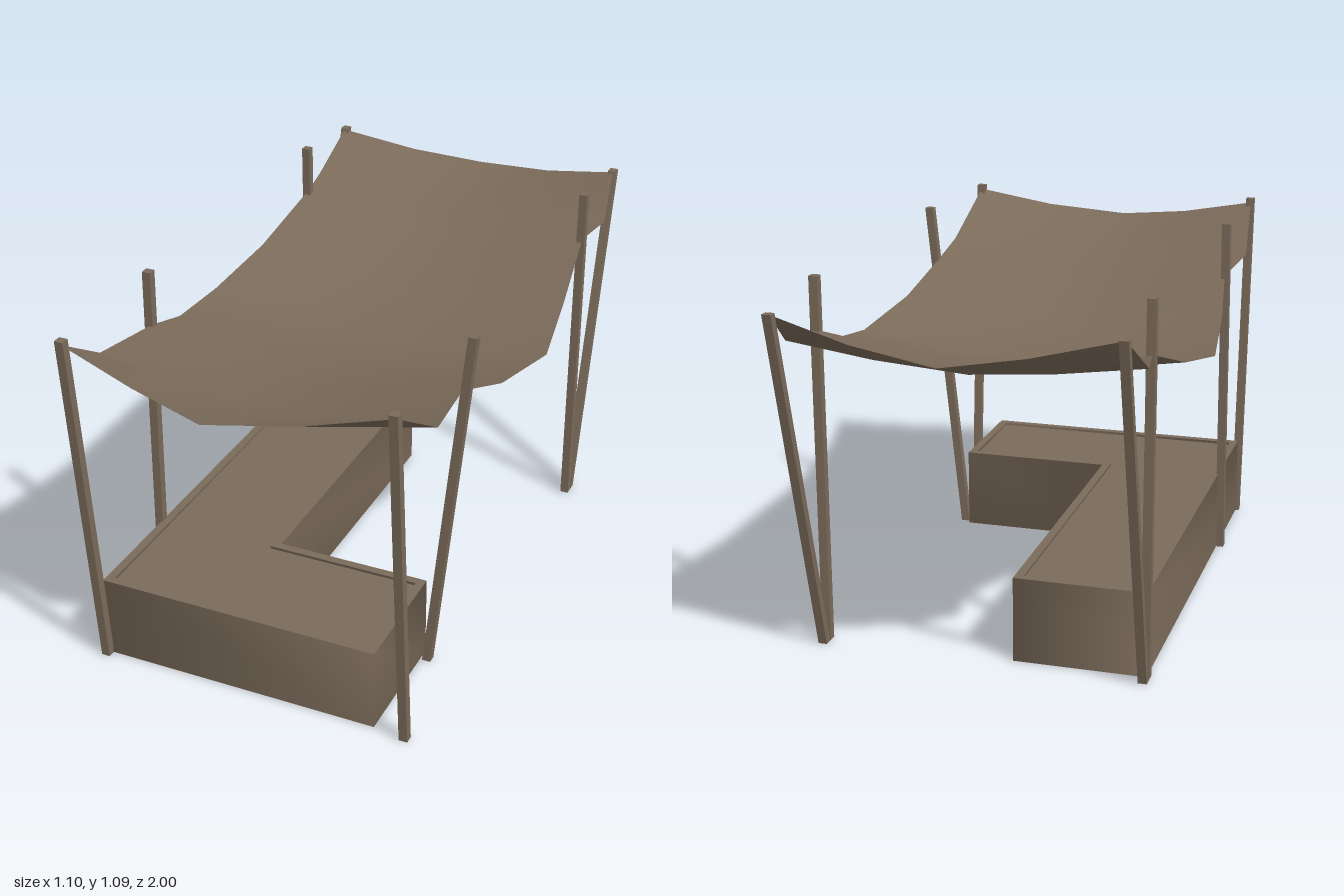
import * as THREE from 'three';

// Indexed surface from rows of points; shared vertices give smooth normals.
function gridSurface(rows) {
  const n = rows[0].length;
  const index = [];
  for (let r = 0; r < rows.length - 1; r++) {
    for (let c = 0; c < n - 1; c++) {
      const a = r * n + c, b = a + n;
      index.push(a, b, a + 1, a + 1, b, b + 1);
    }
  }
  const geometry = new THREE.BufferGeometry();
  geometry.setAttribute('position', new THREE.Float32BufferAttribute(rows.flat(2), 3));
  geometry.setIndex(index);
  geometry.computeVertexNormals();
  return geometry;
}

// Closed band between two matching outlines at different heights.
function band(lower, yLow, upper, yHigh) {
  const n = lower.length;
  const points = [...lower.map(([x, z]) => [x, yLow, z]), ...upper.map(([x, z]) => [x, yHigh, z])];
  const index = [];
  for (let i = 0; i < n; i++) {
    const j = (i + 1) % n;
    index.push(i, j, n + i, j, n + j, n + i);
  }
  const geometry = new THREE.BufferGeometry();
  geometry.setAttribute('position', new THREE.Float32BufferAttribute(points.flat(), 3));
  geometry.setIndex(index);
  geometry.computeVertexNormals();
  return geometry;
}

// Square post whose top is shifted sideways so its ends stay level.
function post([x0, z0], [x1, z1], height) {
  const geometry = new THREE.BoxGeometry(0.026, height, 0.026);
  geometry.translate(0, height / 2, 0);
  const p = geometry.attributes.position;
  for (let i = 0; i < p.count; i++) {
    const t = p.getY(i) / height;
    p.setX(i, p.getX(i) + x0 + (x1 - x0) * t);
    p.setZ(i, p.getZ(i) + z0 + (z1 - z0) * t);
  }
  geometry.computeVertexNormals();
  return geometry;
}

export function createModel() {
  const model = new THREE.Group();
  const brown = new THREE.MeshStandardMaterial({ color: 0x7b6b5a, side: THREE.DoubleSide });
  brown.name = 'weatheredBrown';
  const add = (name, geometry, parent = model) => {
    const mesh = new THREE.Mesh(geometry, brown);
    mesh.name = name;
    parent.add(mesh);
  };

  // Sagging canopy: edge x, edge z, middle z, edge y, middle y for each row
  const sections = [
    [0.48, -0.9, -1.0, 1.05, 0.97],
    [0.505, -0.75, -0.75, 0.94, 0.885],
    [0.48, -0.6, -0.6, 0.935, 0.86],
    [0.515, -0.33, -0.33, 0.845, 0.785],
    [0.55, -0.07, -0.07, 0.797, 0.742],
    [0.515, 0.22, 0.22, 0.84, 0.78],
    [0.48, 0.44, 0.44, 0.92, 0.85],
    [0.505, 0.68, 0.68, 0.94, 0.885],
    [0.48, 0.9, 1.0, 1.075, 0.995],
  ];
  const canopyRows = sections.map(([x, ze, zm, ye, ym]) =>
    [-1, -0.5, 0, 0.5, 1].map((u) => {
      const a = Math.abs(u);
      const lift = a === 0.5 ? 0.36 : a;
      return [u === 0 ? -0.015 : u * x, ym + (ye - ym) * lift, zm + (ze - zm) * a];
    }));
  add('canopy', gridSurface(canopyRows));

  // Support poles: base and top as [x, z]
  const poles = new THREE.Group();
  poles.name = 'poles';
  model.add(poles);
  for (const side of [-1, 1]) {
    const label = side > 0 ? 'left' : 'right';
    add(label + 'FrontPole', post([side * 0.478, 0.81], [side * 0.478, 0.9], 1.09), poles);
    add(label + 'BackPole', post([side * 0.478, -0.6], [side * 0.478, -0.6], 1.09), poles);
    add(label + 'BackBrace', post([side * 0.478, -0.63], [side * 0.478, -0.91], 1.055), poles);
  }
  add('rightMiddlePole', post([-0.49, 0.45], [-0.482, 0.437], 1.09), poles);
  add('leftMiddlePole', post([0.4, 0.45], [0.508, 0.437], 1.09), poles);

  // L-shaped bench, hollow and open underneath
  const outline = (d) => [
    [-0.48 + d, 0.8 - d], [0.38 - d, 0.8 - d], [0.38 - d, 0.42 + d],
    [-0.09 - d, 0.42 + d], [-0.09 - d, -0.6 + d], [-0.48 + d, -0.6 + d],
  ];
  const bench = new THREE.Group();
  bench.name = 'bench';
  model.add(bench);
  const outer = outline(0), inner = outline(0.025);
  add('benchWalls', band(outer, 0, outer, 0.255), bench);
  add('benchRim', band(outer, 0.255, inner, 0.255), bench);
  add('benchLip', band(inner, 0.255, inner, 0.247), bench);
  const seat = new THREE.ShapeGeometry(new THREE.Shape(inner.map(([x, z]) => new THREE.Vector2(x, -z))));
  seat.rotateX(-Math.PI / 2);
  seat.translate(0, 0.247, 0);
  add('benchSeat', seat, bench);

  return model;
}
